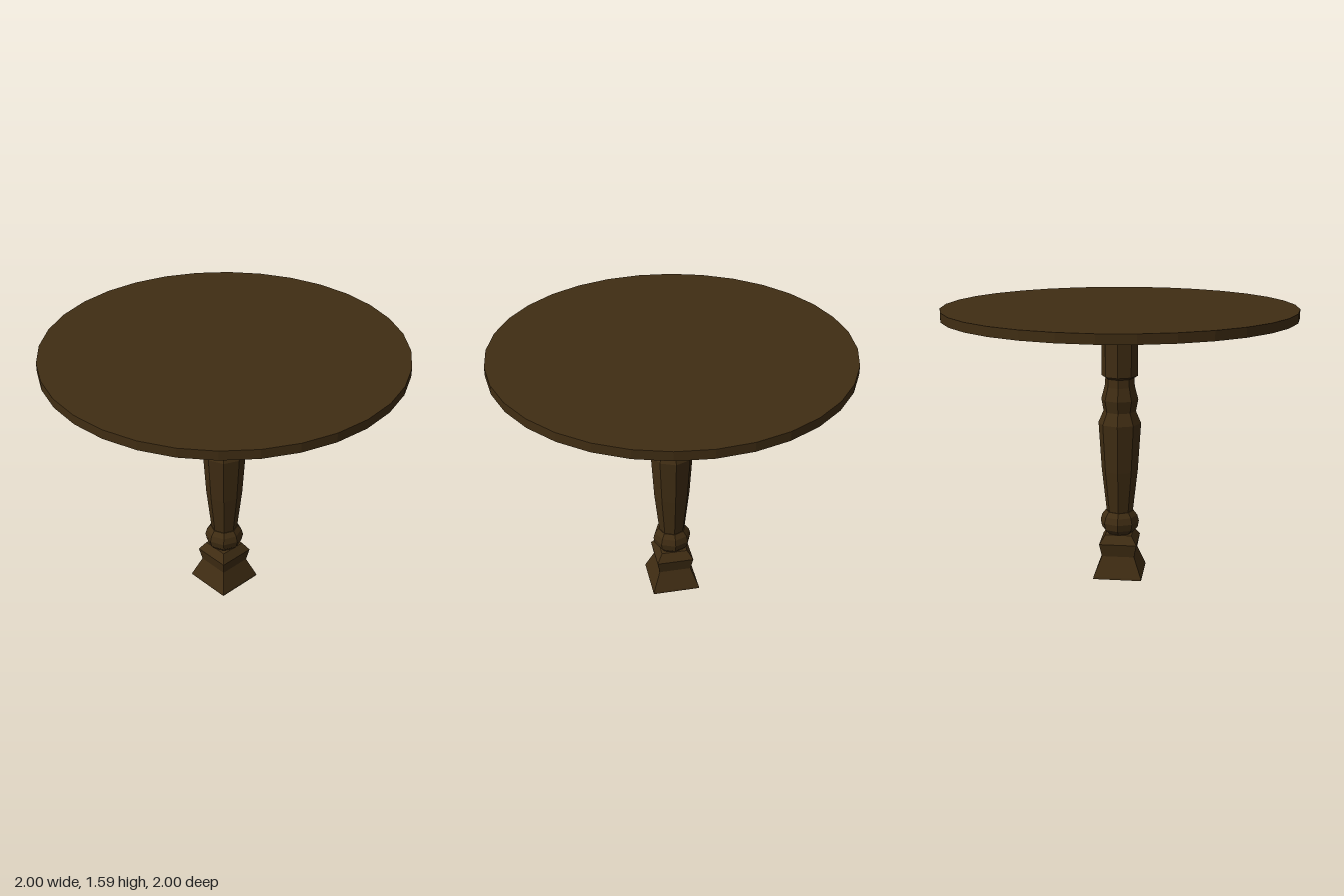
import * as THREE from 'three';

const wood = new THREE.MeshStandardMaterial({ color: 0x402d13, flatShading: true });

function addPart(group, name, geometry) {
  const flat = geometry.toNonIndexed();
  flat.computeVertexNormals();
  const mesh = new THREE.Mesh(flat, wood);
  mesh.name = name;
  group.add(mesh);
  return mesh;
}

// Faceted turning from [radius, height] pairs, bottom to top
function turned(profile, sides, start = 0, scale = 1) {
  const points = profile.map(([r, y]) => new THREE.Vector2(r * scale, y));
  return new THREE.LatheGeometry(points, sides, start);
}

export function createModel() {
  const table = new THREE.Group();
  table.name = 'pedestalTable';

  // Round top with 32 straight edge facets
  const top = addPart(table, 'tableTop', new THREE.CylinderGeometry(1, 1, 0.052, 32));
  top.position.y = 1.564;

  // Square foot: half-widths, so scaled out to the corners
  addPart(table, 'foot', turned([
    [0, 0], [0.142, 0], [0.14, 0.012], [0.095, 0.128],
    [0.11, 0.205], [0.077, 0.255], [0, 0.255],
  ], 4, Math.PI / 4, Math.SQRT2));

  // Eight-sided collar above the foot
  addPart(table, 'collar', turned([
    [0, 0.253], [0.077, 0.253], [0.106, 0.285], [0.114, 0.325],
    [0.104, 0.362], [0.082, 0.39], [0, 0.39],
  ], 8));

  // Swelling shaft, ring and neck
  addPart(table, 'shaft', turned([
    [0.078, 0.39], [0.106, 0.64], [0.124, 0.92], [0.094, 0.99],
    [0.107, 1.06], [0.087, 1.135], [0.083, 1.185],
  ], 8));

  // Upper block flaring out below the top
  addPart(table, 'upperBlock', turned([
    [0.083, 1.183], [0.104, 1.197], [0.104, 1.405],
    [0.092, 1.435], [0.104, 1.54],
  ], 8));

  return table;
}
